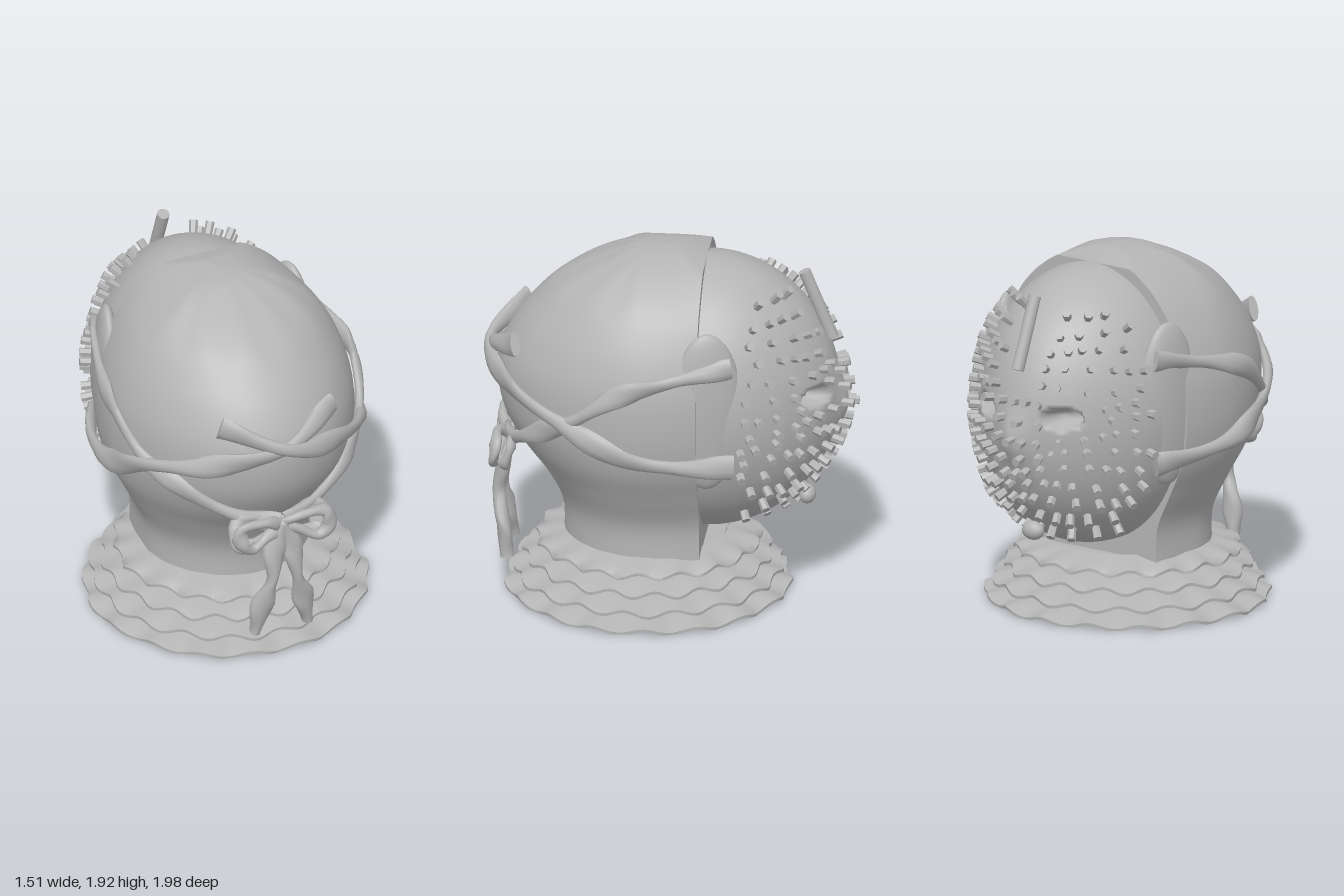
import * as THREE from 'three';
import { toCreasedNormals } from 'three/addons/utils/BufferGeometryUtils.js';

const V = (x, y, z) => new THREE.Vector3(x, y, z);
const { lerp, mapLinear, smoothstep } = THREE.MathUtils;
const clay = new THREE.MeshStandardMaterial({ color: 0xb4b4b4 });
clay.name = 'grey clay';

// Skin a list of closed rings; cap the ends, or join last to first
function loft(rings, { loop = false, crease = 0.8 } = {}) {
  const n = rings[0].length, m = rings.length;
  const pts = rings.flat(), idx = [];
  for (let i = 0; i < (loop ? m : m - 1); i++) {
    for (let j = 0; j < n; j++) {
      const k = (j + 1) % n, i2 = (i + 1) % m;
      const a = i * n + j, b = i * n + k, c = i2 * n + k, d = i2 * n + j;
      idx.push(a, b, c, a, c, d);
    }
  }
  if (!loop) {
    [0, m - 1].forEach((r) => {
      const centre = V(0, 0, 0);
      rings[r].forEach((p) => centre.addScaledVector(p, 1 / n));
      const ci = pts.push(centre) - 1;
      for (let j = 0; j < n; j++) {
        const a = r * n + j, b = r * n + ((j + 1) % n);
        if (r === 0) idx.push(ci, b, a); else idx.push(ci, a, b);
      }
    });
  }
  const g = new THREE.BufferGeometry().setFromPoints(pts);
  g.setIndex(idx);
  return toCreasedNormals(g, crease);
}

function add(parent, name, geometry) {
  const mesh = new THREE.Mesh(geometry, clay);
  mesh.name = name;
  parent.add(mesh);
  return mesh;
}

// Hood: egg-shaped sections [height, half width, front], cut flat at the back
function hoodGeometry() {
  const keys = [
    [1.925, 0.04, 0.12], [1.91, 0.14, 0.21], [1.87, 0.255, 0.31], [1.8, 0.37, 0.47], [1.72, 0.46, 0.61], [1.63, 0.53, 0.71],
    [1.47, 0.61, 0.84], [1.28, 0.66, 0.92], [1.04, 0.665, 0.9], [0.86, 0.63, 0.81],
    [0.67, 0.54, 0.67], [0.48, 0.455, 0.58], [0.26, 0.45, 0.57],
  ];
  const curve = new THREE.CatmullRomCurve3(keys.map((k) => V(...k)));
  const rings = curve.getPoints(72).map(({ x: y, y: w, z: f }) => {
    const back = y > 1.87 ? mapLinear(y, 1.87, 1.925, -0.18, -0.04) : -0.18;
    const zc = Math.min(0.15, f * 0.45);
    const ring = [];
    for (let i = 0; i <= 72; i++) {
      const t = -0.4 + (Math.PI + 0.8) * (i / 72), s = Math.sin(t);
      const fold = 1 + 0.02 * Math.cos(11 * t) * smoothstep(y, 1.6, 1.9);
      const z = zc + s * (s < 0 ? (zc - back) / Math.sin(0.4) : (f - zc) * fold);
      ring.push(V(w * fold * Math.cos(t) * (1 - 0.08 * Math.max(0, s)), y, z));
    }
    return ring;
  });
  return loft(rings);
}

// Face: half ellipsoid narrowing to a nose bump, with two sunken eye sockets
const FACE = { c: V(0, 1.12, -0.18), r: V(0.58, 0.75, 0.7) };
const EYE = { x: 0.24, y: 1.19 };
const eyeDist = (x, y) => Math.hypot((Math.abs(x) - EYE.x) / 0.09, (y - EYE.y) / 0.05);

function shapeFace(p) {
  const depth = (FACE.c.z - p.z) / FACE.r.z;
  p.x *= 1 - 0.17 * depth * depth;
  if (depth > 0.3) p.z -= 0.045 * Math.exp(-((p.x / 0.09) ** 2) - ((p.y - 1.06) / 0.13) ** 2);
  return p;
}

function faceGeometry() {
  const g = new THREE.SphereGeometry(1, 110, 110, Math.PI, Math.PI);
  g.scale(FACE.r.x, FACE.r.y, FACE.r.z).translate(FACE.c.x, FACE.c.y, FACE.c.z);
  const pos = g.attributes.position, p = V(0, 0, 0);
  for (let i = 0; i < pos.count; i++) {
    shapeFace(p.fromBufferAttribute(pos, i));
    const d = eyeDist(p.x, p.y);
    if (p.z < -0.4) p.z += 0.14 * (1 - smoothstep(d, 0.6, 1.1));
    pos.setXYZ(i, p.x, p.y, p.z);
  }
  g.computeVertexNormals();
  return g;
}

// Studs standing out of the face in staggered rows
function addStuds(parent) {
  const group = new THREE.Group();
  group.name = 'studs';
  parent.add(group);
  const stud = toCreasedNormals(new THREE.CylinderGeometry(0.024, 0.022, 0.075, 6), 0.8);
  const up = V(0, 1, 0);
  let row = 0;
  for (let y = 0.55; y < 1.77; y += 0.088, row++) {
    const k = Math.sqrt(1 - ((y - FACE.c.y) / FACE.r.y) ** 2);
    const step = 0.105 / (k * 0.64);
    for (let i = -16; i <= 16; i++) {
      const a = (i + (row % 2) / 2) * step + 0.05 * Math.sin(i * 5 + row * 3);
      if (Math.abs(a) > 1.5) continue;
      const pos = V(FACE.r.x * k * Math.sin(a), y + 0.022 * Math.sin(i * 7 + row), FACE.c.z - FACE.r.z * k * Math.cos(a));
      const normal = pos.clone().sub(FACE.c).divide(FACE.r).divide(FACE.r).normalize();
      shapeFace(pos);
      const bareBrow = y > 1.33 && Math.abs(pos.x) < 0.13;
      if (pos.z > -0.4 || bareBrow || eyeDist(pos.x, pos.y) < 1.3) continue;
      const mesh = add(group, 'stud', stud);
      mesh.position.copy(pos).addScaledVector(normal, 0.02);
      mesh.quaternion.setFromUnitVectors(up, normal);
    }
  }
}

// Ribbon: flattened oval swept along a path, twisting and swelling as it goes
function ribbon(points, { width = 0.045, thick = 0.02, swell = 0.3, waves = 3, twist = 0.35, loop = false } = {}) {
  const curve = new THREE.CatmullRomCurve3(points.map((p) => V(...p)), loop);
  const n = 60, rings = [];
  for (let i = 0; i < (loop ? n : n + 1); i++) {
    const u = i / n, p = curve.getPointAt(u), T = curve.getTangentAt(u);
    const out = V(p.x, 0, p.z - 0.1);
    out.addScaledVector(T, -out.dot(T)).normalize();
    out.applyAxisAngle(T, twist * Math.sin(u * waves * Math.PI * 2));
    const side = out.clone().cross(T);
    const w = width * (1 + swell * Math.cos(u * waves * Math.PI * 2));
    const ring = [];
    for (let j = 0; j < 10; j++) {
      const a = (j / 10) * Math.PI * 2;
      ring.push(p.clone().addScaledVector(side, w * Math.cos(a)).addScaledVector(out, thick * Math.sin(a)));
    }
    rings.push(ring);
  }
  return loft(rings, { loop, crease: 1.3 });
}

// Ruffle: thin sloping collar with a wavy rim
function ruffle(radius, yIn, yOut, phase) {
  const profile = [[0, 0.016], [0.5, 0.018], [0.8, 0.017], [1, 0.008], [1, -0.008], [0.5, -0.016], [0, -0.016]];
  const rings = profile.map(([k, dy]) => {
    const ring = [];
    for (let i = 0; i < 160; i++) {
      const t = (i / 160) * Math.PI * 2;
      const wave = Math.sin(17 * t + phase) + 0.4 * Math.sin(7 * t + phase * 3);
      const r = lerp(0.42, radius + 0.012 * wave, k);
      const y = lerp(yIn, yOut, k) + dy + 0.014 * k * k * Math.cos(17 * t + phase * 2);
      ring.push(V(r * Math.cos(t), Math.max(0, y), 0.13 + r * Math.sin(t)));
    }
    return ring;
  });
  return loft(rings, { loop: true, crease: 1 });
}

export function createModel() {
  const model = new THREE.Group();
  model.name = 'hoodedBust';

  add(model, 'hood', hoodGeometry());
  add(model, 'face', faceGeometry());
  addStuds(model);

  // Long peg on the forehead and bead under the chin
  const peg = add(model, 'foreheadPeg', toCreasedNormals(new THREE.CylinderGeometry(0.033, 0.033, 0.4, 12), 0.8));
  peg.position.set(0, 1.615, -0.765);
  peg.rotation.x = 0.385;
  const bead = add(model, 'chinBead', new THREE.SphereGeometry(0.046, 20, 14));
  bead.position.set(0, 0.53, -0.705);
  bead.scale.set(1.4, 1.1, 1);

  // Collar base and stacked ruffles
  const base = add(model, 'neckBase', new THREE.CylinderGeometry(0.45, 0.46, 0.28, 48));
  base.scale.z = 0.93;
  base.position.set(0, 0.17, 0.14);
  [[0.585, 0.31, 0.265], [0.645, 0.235, 0.185], [0.7, 0.15, 0.1], [0.745, 0.07, 0.016]].forEach(([r, a, b], i) =>
    add(model, 'ruffle', ruffle(r, a, b, i * 1.3)));

  for (const s of [1, -1]) {
    const m = (pts) => pts.map(([x, y, z]) => [x * s, y, z]);

    // Padded flap beside the face
    const flap = add(model, 'sideFlap', new THREE.SphereGeometry(1, 32, 24));
    flap.scale.set(0.075, 0.44, 0.19);
    flap.position.set(0.52 * s, 1.2, -0.23);
    flap.rotation.y = 0.25 * s;

    // Straps crossing on the front and straps running down to the bow
    const lift = s > 0 ? 0.02 : 0;
    add(model, 'crossStrap', ribbon(m([
      [0.55, 0.9, -0.37], [0.66, 0.93, -0.1], [0.69, 0.98, 0.19], [0.61, 1.12, 0.51],
      [0.38, 1.22, 0.8], [0, 1.33, 0.95 + lift], [-0.32, 1.45, 0.8],
    ]), { width: 0.052, thick: 0.026 }));
    add(model, 'bowStrap', ribbon(m([
      [0.54, 1.46, -0.36], [0.65, 1.4, -0.02], [0.68, 1.32, 0.24], [0.61, 1.14, 0.48],
      [0.44, 1.0, 0.69], [0.2, 0.87, 0.82], [0.02, 0.82, 0.87],
    ]), { width: 0.046, thick: 0.024 }));

    // Crumpled bow loops and hanging tails
    add(model, 'bowLoop', ribbon(m([
      [0.01, 0.8, 0.87], [0.1, 0.86, 0.91], [0.24, 0.85, 0.91], [0.25, 0.77, 0.92], [0.19, 0.72, 0.92], [0.09, 0.77, 0.9],
    ]), { width: 0.034, thick: 0.025, loop: true, waves: 2, twist: 0.7 }));
    add(model, 'bowInnerLoop', ribbon(m([
      [0.01, 0.81, 0.86], [0.12, 0.86, 0.84], [0.25, 0.83, 0.83], [0.25, 0.73, 0.87], [0.1, 0.75, 0.87],
    ]), { width: 0.034, thick: 0.022, loop: true, waves: 3, twist: 0.7 }));
    add(model, 'bowTail', ribbon(m([
      [0, 0.82, 0.88], [0.05, 0.66, 0.89], [0.07, 0.5, 0.91], [0.12, 0.32, 0.88], [0.15, 0.16, 0.86],
    ]), { width: 0.047, thick: 0.036, swell: -0.4, waves: 2, twist: 0.3 }));
  }
  const knot = add(model, 'bowKnot', new THREE.SphereGeometry(0.035, 16, 12));
  knot.position.set(0, 0.81, 0.88);
  return model;
}
